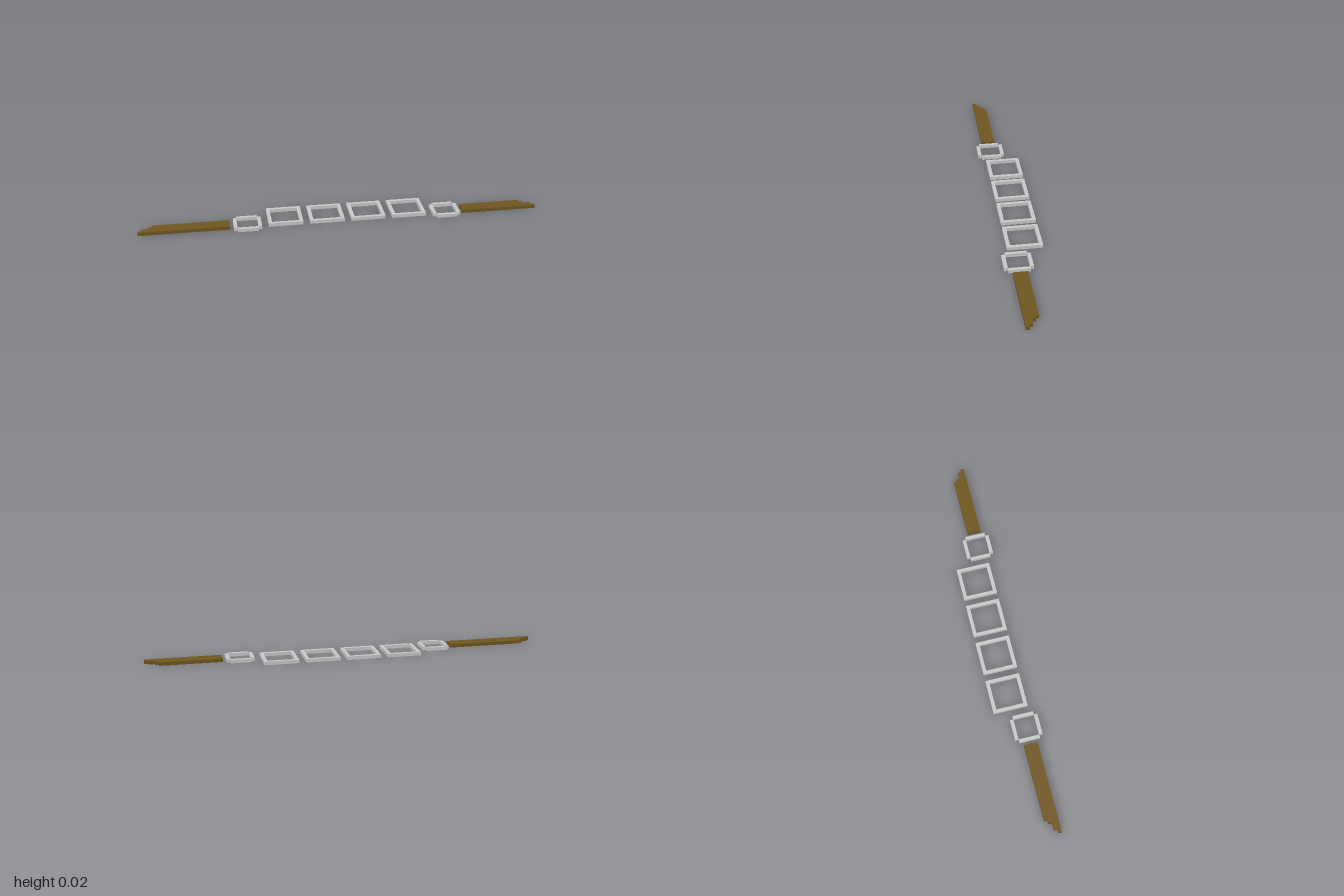
import * as THREE from 'three';

const U = 2 / 116; // one grid cell; the whole piece is 116 cells long

const brown = new THREE.MeshStandardMaterial({ color: 0x70571f, side: THREE.DoubleSide });
brown.name = 'brown leather';
const grey = new THREE.MeshStandardMaterial({ color: 0xcbcbcb, side: THREE.DoubleSide });
grey.name = 'light grey metal';

const toPoints = (pts) => pts.map(([x, z]) => new THREE.Vector2(x * U, -z * U));
const rect = (x0, z0, x1, z1) => [[x0, z0], [x1, z0], [x1, z1], [x0, z1]];

// One-cell-high shell, open underneath, from an outline in (x, z) cells
function shell(name, material, outline, hole) {
  const shape = new THREE.Shape(toPoints(outline));
  if (hole) shape.holes.push(new THREE.Path(toPoints(hole)));
  const solid = new THREE.ExtrudeGeometry(shape, { depth: U, bevelEnabled: false });
  const skip = solid.groups[0].count / 2; // the lower cap comes first
  const geometry = new THREE.BufferGeometry();
  for (const key of ['position', 'normal']) {
    const array = solid.attributes[key].array.slice(skip * 3);
    geometry.setAttribute(key, new THREE.BufferAttribute(array, 3));
  }
  geometry.rotateX(-Math.PI / 2);
  const mesh = new THREE.Mesh(geometry, material);
  mesh.name = name;
  return mesh;
}

// Strap with a stepped tip; side is -1 or 1, inner is where it meets the links
function strap(name, side, inner) {
  const tip = [[54, 0], [54, 1], [55, 1], [55, 2], [57, 2], [57, 3], [58, 3], [58, 4]];
  const outline = [[inner, 0], ...tip, [inner, 4]].map(([x, z]) => [x * side, z]);
  return shell(name, brown, outline);
}

// Small link of four bars with notched corners
function smallLink(name, x) {
  const link = new THREE.Group();
  link.name = name;
  link.add(
    shell('backBar', grey, rect(x + 1, -2, x + 7, -1)),
    shell('frontBar', grey, rect(x + 1, 5, x + 7, 6)),
    shell('rightBar', grey, rect(x, -1, x + 1, 5)),
    shell('leftBar', grey, rect(x + 7, -1, x + 8, 5)),
  );
  return link;
}

export function createModel() {
  const model = new THREE.Group();
  model.name = 'linkedBand';

  model.add(strap('rightStrap', -1, 32), strap('leftStrap', 1, 36));
  model.add(smallLink('rightSmallLink', -31), smallLink('leftSmallLink', 27));

  // Row of large square links
  [-21, -9, 3, 15].forEach((x, i) => {
    model.add(shell(`squareLink${i + 1}`, grey, rect(x, -6, x + 10, 4), rect(x + 1, -5, x + 9, 3)));
  });
  return model;
}
